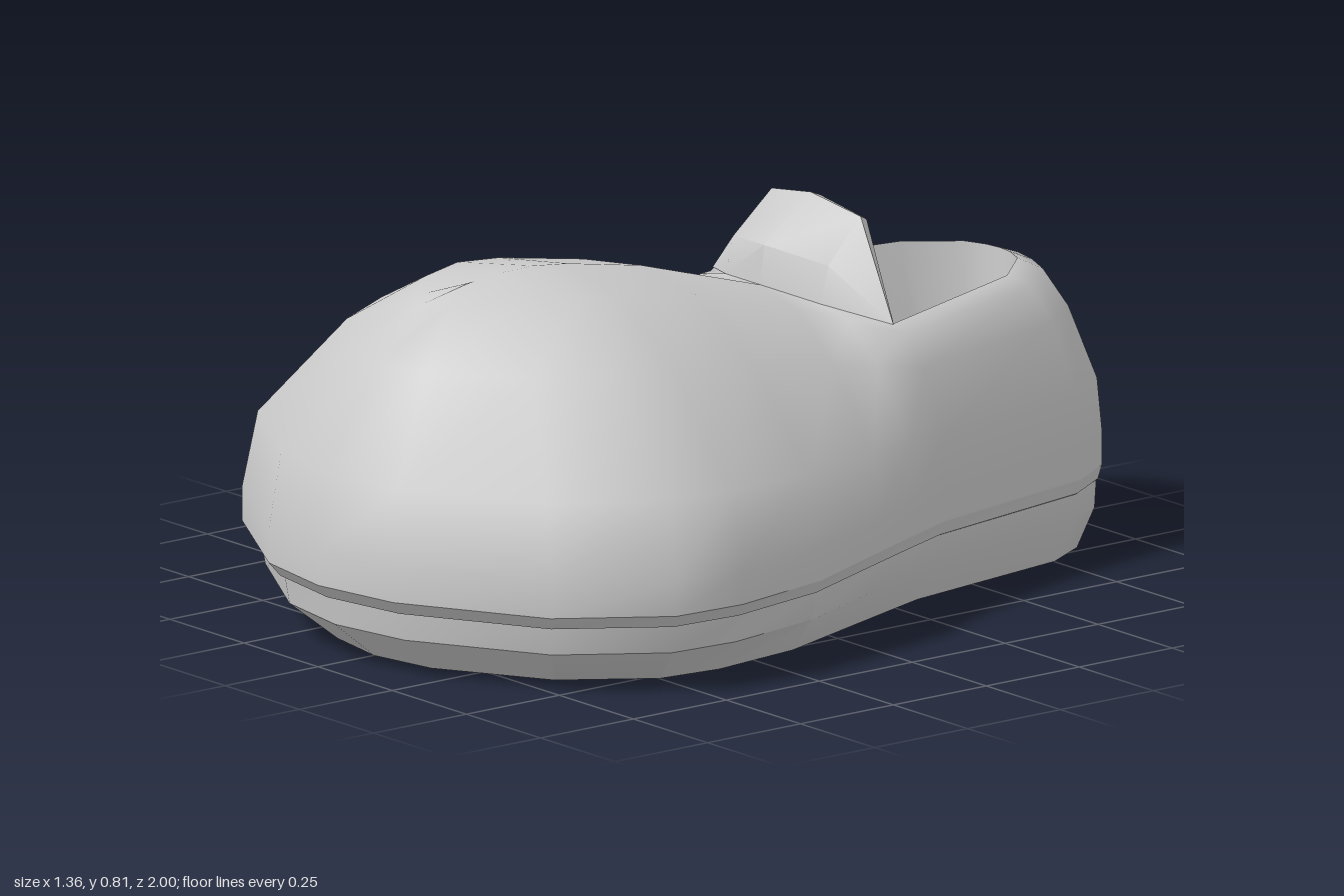
import * as THREE from 'three';
import { mergeVertices, toCreasedNormals } from 'three/addons/utils/BufferGeometryUtils.js';

const material = new THREE.MeshStandardMaterial({ color: 0xcccccc, side: THREE.DoubleSide });

// Left half of the footprint, toe to heel: outline x, z, then where the column ends on top: x, y, z
const columns = [
  [0, 1, 0, 0.768, 0.6],
  [0.21, 0.965, 0, 0.769, 0.58],
  [0.52, 0.79, 0, 0.776, 0.5],
  [0.67, 0.57, 0, 0.777, 0.42],
  [0.68, 0.4, 0, 0.767, 0.33],
  [0.63, 0.15, 0, 0.73, 0.13],
  [0.52, -0.1, 0, 0.635, -0.19],
  [0.46, -0.24, 0.16, 0.62, -0.225],
  [0.41, -0.36, 0.3, 0.592, -0.305],
  [0.32, -0.8, 0.18, 0.607, -0.71],
  [0.25, -0.91, 0.09, 0.61, -0.81],
  [0.12, -0.965, 0.04, 0.61, -0.83],
  [0, -1, 0, 0.61, -0.835],
];

// Mirrors a half row across x = 0; closed rows run round the shoe, open rows run side to side
const ring = half => [...half, ...half.slice(1, -1).reverse().map(([x, y, z]) => [-x, y, z])];
const strip = half => [...half.slice(1).reverse().map(([x, y, z]) => [-x, y, z]), ...half];

// Skins a list of rows of points
function skin(rows, closed) {
  const n = rows[0].length, index = [];
  for (let r = 0; r < rows.length - 1; r++) {
    for (let j = 0; j < (closed ? n : n - 1); j++) {
      const a = r * n + j, b = r * n + (j + 1) % n;
      index.push(a, b, b + n, a, b + n, a + n);
    }
  }
  const g = new THREE.BufferGeometry();
  g.setAttribute('position', new THREE.Float32BufferAttribute(rows.flat(2), 3));
  g.setIndex(index);
  const merged = mergeVertices(g, 1e-4);
  merged.computeVertexNormals();
  return merged;
}

// Footprint at height y, drawn in by d (more at the toe than at the heel)
function footprint(y, d) {
  return ring(columns.map(([x, z]) => {
    const inset = d * (0.33 + 0.335 * (z + 1));
    return [x * (1 - 1.7 * inset), y, z * (1 - inset)];
  }));
}

// Row of the upper: a moves inwards and b upwards towards the top of each column
function upperRow(a, b) {
  const mix = THREE.MathUtils.lerp;
  return ring(columns.map(([x, z, tx, ty, tz]) => [mix(x, tx, a), mix(0.25, ty, b), mix(z, tz, a)]));
}

export function createModel() {
  const model = new THREE.Group();
  const add = (name, geometry) => {
    const mesh = new THREE.Mesh(geometry, material);
    mesh.name = name;
    model.add(mesh);
  };
  const centre = y => ring(columns.map(() => [0, y, 0]));

  // Sole with a bevelled lower edge
  add('sole', toCreasedNormals(skin([
    centre(0), footprint(0, 0.15), footprint(0.085, 0.045), footprint(0.145, 0.035),
  ], true), 0.65));

  // Narrow lip where the upper overhangs the sole
  add('welt', toCreasedNormals(skin([
    footprint(0.145, 0.035), footprint(0.147, 0.025), footprint(0.177, 0),
  ], true), 0.65));

  // Rounded body, closing on the toe ridge in front and on the opening behind
  add('upper', skin([
    footprint(0.177, 0), upperRow(0, 0), upperRow(0.06, 0.32),
    upperRow(0.4, 0.74), upperRow(0.7, 0.95), upperRow(1, 1),
  ], true));

  // Inside floor
  add('insole', skin([footprint(0.2, 0.03), centre(0.2)], true));

  // Inner wall round the heel
  const rim = columns.slice(8).reverse().map(c => c.slice(2));
  const foot = [[0, 0.2, -0.82], [0.035, 0.2, -0.815], [0.075, 0.2, -0.8], [0.13, 0.2, -0.74], [0.27, 0.2, -0.33]];
  add('heelLining', skin([strip(rim), strip(foot)], false));

  // Tongue: bulging front, thin top edge, inner face
  const corner = [0.305, 0.592, -0.305];
  add('tongue', toCreasedNormals(skin([
    [[0, 0.635, -0.19], [0.16, 0.62, -0.225], corner],
    [[0, 0.72, -0.2], [0.16, 0.7, -0.245], corner],
    [[0, 0.815, -0.325], [0.15, 0.79, -0.34], corner],
    [[0, 0.805, -0.35], [0.145, 0.78, -0.36], [0.285, 0.592, -0.32]],
    [[0, 0.6, -0.25], [0.15, 0.59, -0.27], [0.28, 0.57, -0.315]],
  ].map(strip), false), 0.7));

  return model;
}
